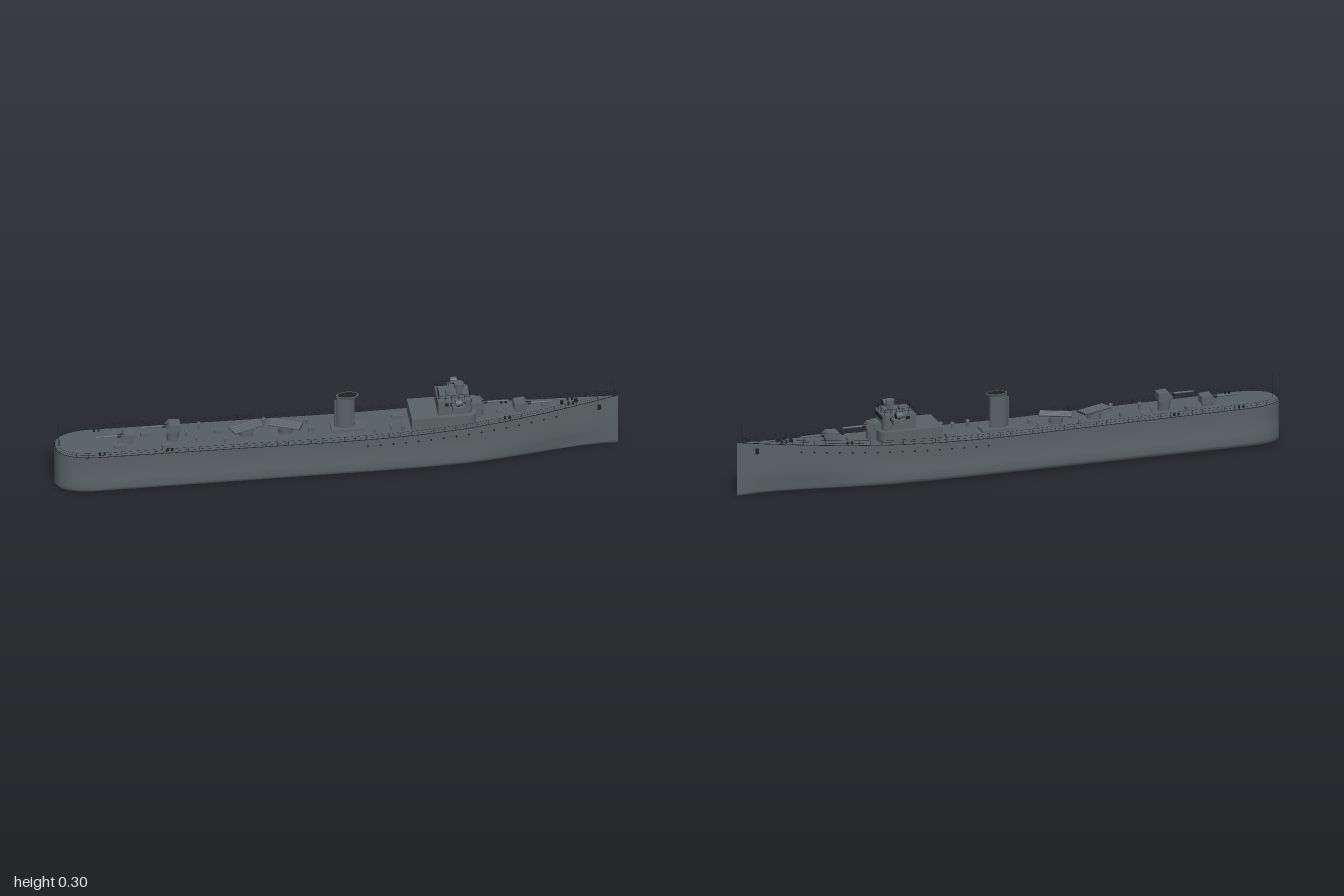
import * as THREE from 'three';

const mat = (name, color) => Object.assign(new THREE.MeshStandardMaterial({ color }), { name });

// Linear interpolation through [x, value] pairs
function lerpTable(table, x) {
  for (let i = 1; i < table.length; i++) {
    const [x0, v0] = table[i - 1], [x1, v1] = table[i];
    if (x <= x1) return v0 + (v1 - v0) * Math.max(0, (x - x0) / (x1 - x0));
  }
  return table[table.length - 1][1];
}
const deckY = x => {
  const bow = Math.max(0, x), stern = Math.max(0, -x);
  return 0.145 + 0.008 * stern + 0.053 * Math.pow(bow, 1.9);
};
const beamTable = [[0.15, 0.097], [0.3, 0.095], [0.45, 0.087], [0.6, 0.07], [0.7, 0.055], [0.8, 0.038], [0.9, 0.02], [1, 0.0005]];
const beam = x => x < -0.85
  ? 0.097 * Math.pow(Math.max(0, 1 - Math.pow((-0.85 - x) / 0.15, 2.4)), 1 / 2.4)
  : lerpTable(beamTable, x);

export function createModel() {
  const grey = mat('warship grey', 0x596265);
  const deckGrey = mat('deck grey', 0x565f62);
  const dark = mat('dark fittings', 0x1d2122);
  const model = new THREE.Group();
  model.name = 'destroyer';

  function add(parent, name, geo, material, x = 0, y = 0, z = 0) {
    const m = new THREE.Mesh(geo, material);
    m.name = name;
    m.position.set(x, y, z);
    parent.add(m);
    return m;
  }
  const box = (p, n, w, h, d, x, y, z, m = grey) => add(p, n, new THREE.BoxGeometry(w, h, d), m, x, y, z);
  const cyl = (p, n, r, h, x, y, z, m = grey, r2 = r, seg = 16) =>
    add(p, n, new THREE.CylinderGeometry(r2, r, h, seg), m, x, y, z);
  function strip(rows, flip) {
    const n = rows[0].length, idx = [];
    for (let i = 0; i + 1 < rows.length; i++) for (let j = 0; j + 1 < n; j++) {
      const a = i * n + j, b = a + n, c = a + 1, d = b + 1;
      idx.push(...(flip ? [a, b, c, b, d, c] : [a, c, b, b, c, d]));
    }
    const g = new THREE.BufferGeometry();
    g.setAttribute('position', new THREE.Float32BufferAttribute(rows.flat(2), 3));
    g.setIndex(idx);
    g.computeVertexNormals();
    return g;
  }

  // Hull stations: dense around the rounded stern
  const stations = [];
  for (let i = 0; i <= 14; i++) stations.push(-0.85 - 0.15 * Math.cos((i / 14) * Math.PI / 2));
  for (let i = 1; i <= 40; i++) stations.push(-0.85 + 1.85 * i / 40);
  const section = x => {
    const w = beam(x), top = deckY(x);
    const fine = 1 - 0.3 * THREE.MathUtils.smoothstep(x, 0.45, 0.95);
    const half = [[0.97, top], [0.965, 0.11], [0.97, 0.075], [1.01 * (1 + fine) / 2, 0.055], [1.01 * fine, 0.025],
      [0.98 * fine, 0.014], [0.9 * fine, 0.009], [0.5 * fine, 0.004]];
    const side = half.map(([f, y]) => [x, y, f * w]);
    return [...side, [x, 0, 0], ...side.map(([a, b, c]) => [a, b, -c]).reverse()];
  };
  add(model, 'hull', strip(stations.map(section), false), grey);
  add(model, 'deck', strip(stations.map(x => [[x, deckY(x), beam(x) * 0.97], [x, deckY(x), -beam(x) * 0.97]]), true), deckGrey);

  // Railings, deck edge, portholes, bollards and anchors on both sides
  for (const s of [1, -1]) {
    const line = h => new THREE.CatmullRomCurve3(stations.map(x =>
      new THREE.Vector3(x * 0.998, deckY(x) + h, s * beam(x) * 0.96)));
    add(model, 'deckEdge', new THREE.TubeGeometry(line(0), 140, 0.0015, 4), dark);
    for (const h of [0.009, 0.018])
      add(model, 'railing', new THREE.TubeGeometry(line(h), 140, 0.0004, 3), dark);
    for (let i = 0; i < 50; i++) {
      const x = -0.97 + i * 0.0395;
      box(model, 'railPost', 0.001, 0.018, 0.001, x, deckY(x) + 0.009, s * beam(x) * 0.96, dark);
    }
    for (let i = 0; i < 16; i++) {
      const x = 0.1 + i * 0.045;
      const p = cyl(model, 'porthole', 0.0035, 0.003, x, deckY(x) - 0.026, s * beam(x) * 0.966, dark, 0.0035, 10);
      p.rotation.x = Math.PI / 2;
    }
    for (const x of [-0.84, -0.6, 0.6, 0.83]) for (const dx of [-0.008, 0.008])
      cyl(model, 'bollard', 0.004, 0.01, x + dx, deckY(x) + 0.005, s * (beam(x) - 0.018), dark, 0.004, 8);
    box(model, 'anchor', 0.012, 0.02, 0.006, 0.93, 0.163, s * 0.0145, dark);
  }

  // Gun mounts with sloped shields
  function gun(name, x, y, dir, base) {
    const g = new THREE.Group();
    g.name = name;
    const sh = new THREE.Shape([[-0.026, 0], [0.022, 0], [0.026, 0.012], [0.012, 0.029], [-0.026, 0.026]]
      .map(p => new THREE.Vector2(...p)));
    add(g, 'shield', new THREE.ExtrudeGeometry(sh, { depth: 0.046, bevelEnabled: false }), grey, 0, 0, -0.023);
    cyl(g, 'barrel', 0.0042, 0.09, 0.065, 0.016, 0, grey, 0.003, 10).rotation.z = -Math.PI / 2;
    cyl(g, 'mantlet', 0.007, 0.02, 0.026, 0.016, 0, dark, 0.005, 10).rotation.z = -Math.PI / 2;
    cyl(g, 'pedestal', 0.022, base, 0, -base / 2, 0);
    g.position.set(x, y, 0);
    if (dir < 0) g.rotation.y = Math.PI;
    model.add(g);
  }
  gun('foreGun', 0.655, 0.176, 1, 0.014);
  gun('upperForeGun', 0.5, 0.193, 1, 0.04);
  gun('upperAftGun', -0.58, 0.189, -1, 0.045);
  gun('aftGun', -0.74, 0.161, -1, 0.015);

  // Deckhouse with rounded plan corners
  function house(name, x0, x1, hw, y0, h, r) {
    const s = new THREE.Shape();
    s.moveTo(x0, -hw);
    s.lineTo(x1 - r, -hw);
    s.quadraticCurveTo(x1, -hw, x1, -hw + r);
    s.lineTo(x1, hw - r);
    s.quadraticCurveTo(x1, hw, x1 - r, hw);
    s.lineTo(x0, hw);
    s.closePath();
    const m = add(model, name, new THREE.ExtrudeGeometry(s, { depth: h, bevelEnabled: false, curveSegments: 8 }), grey, 0, y0, 0);
    m.rotation.x = -Math.PI / 2;
  }
  house('deckhouse', 0.26, 0.49, 0.07, 0.14, 0.06, 0.03);
  house('bridge', 0.355, 0.475, 0.053, 0.2, 0.055, 0.02);
  house('bridgeStep', 0.46, 0.5, 0.028, 0.195, 0.028, 0.012);
  for (let i = -3; i <= 3; i++)
    box(model, 'bridgeWindow', 0.003, 0.012, 0.009, 0.475, 0.242, i * 0.0105, dark);
  for (const s of [1, -1]) {
    for (let i = 0; i < 4; i++)
      box(model, 'sideWindow', 0.013, 0.011, 0.003, 0.385 + i * 0.02, 0.242, s * 0.053, dark);
    // Bridge wing and searchlight
    box(model, 'bridgeWing', 0.045, 0.017, 0.034, 0.425, 0.238, s * 0.069);
    cyl(model, 'lampStand', 0.004, 0.012, 0.425, 0.25, s * 0.075, dark, 0.004, 8);
    cyl(model, 'searchlight', 0.012, 0.022, 0.425, 0.261, s * 0.075, grey).rotation.z = Math.PI / 2;
    cyl(model, 'searchlightLens', 0.0105, 0.002, 0.437, 0.261, s * 0.075, dark).rotation.z = Math.PI / 2;
    // Bridge top rail
    for (const y of [0.266, 0.276]) box(model, 'bridgeRail', 0.11, 0.001, 0.001, 0.415, y, s * 0.047, dark);
    for (let i = 0; i < 6; i++) box(model, 'bridgeRailPost', 0.001, 0.022, 0.001, 0.36 + i * 0.022, 0.266, s * 0.047, dark);
  }
  for (const x of [0.36, 0.47]) {
    for (const y of [0.266, 0.276]) box(model, 'bridgeCrossRail', 0.001, 0.001, 0.094, x, y, 0, dark);
    for (let i = -3; i <= 3; i++) box(model, 'bridgeRailPost', 0.001, 0.022, 0.001, x, 0.266, i * 0.0155, dark);
  }
  cyl(model, 'directorBase', 0.011, 0.025, 0.435, 0.266, 0);
  cyl(model, 'director', 0.017, 0.02, 0.435, 0.287, 0);
  box(model, 'rangefinder', 0.012, 0.01, 0.044, 0.435, 0.281, 0);
  box(model, 'binnacle', 0.015, 0.015, 0.02, 0.395, 0.262, 0);

  // Funnel with a lipped cap
  const funnel = cyl(model, 'funnel', 0.033, 0.13, 0.033, 0.207, 0, grey, 0.032, 28);
  funnel.scale.z = 0.55;
  const cap = cyl(model, 'funnelCap', 0.034, 0.009, 0.04, 0.274, 0, grey, 0.04, 28);
  cap.scale.z = 0.55;
  const mouth = cyl(model, 'funnelMouth', 0.034, 0.002, 0.04, 0.2785, 0, dark, 0.034, 28);
  mouth.scale.z = 0.5;
  cyl(model, 'steamPipe', 0.004, 0.12, -0.003, 0.2, 0, grey, 0.004, 8);

  // Torpedo tube mounts
  for (const [x, a] of [[-0.32, 0.4], [-0.18, -0.4]]) {
    const t = new THREE.Group();
    t.name = 'torpedoMount';
    cyl(t, 'turntable', 0.026, 0.02, 0, 0.01, 0);
    box(t, 'cradle', 0.05, 0.006, 0.044, 0, 0.022, 0);
    for (let i = -1.5; i <= 1.5; i++) {
      cyl(t, 'torpedoTube', 0.0052, 0.115, 0, 0.03, i * 0.012, grey, 0.0052, 10).rotation.z = Math.PI / 2;
      cyl(t, 'tubeMouth', 0.004, 0.001, 0.058, 0.03, i * 0.012, dark, 0.004, 10).rotation.z = Math.PI / 2;
    }
    t.position.set(x, deckY(x), 0);
    t.rotation.y = a;
    model.add(t);
  }

  // Deck fittings: lockers, ventilators, stern racks
  for (const [x, z, w, h, d] of [[-0.77, 0.04, 0.045, 0.014, 0.02], [-0.67, -0.03, 0.04, 0.012, 0.018],
    [-0.61, 0.055, 0.03, 0.012, 0.016], [-0.42, -0.02, 0.02, 0.012, 0.014], [-0.09, 0.01, 0.018, 0.016, 0.012],
    [0.04, 0, 0.12, 0.008, 0.06], [0.22, -0.035, 0.04, 0.012, 0.022], [0.58, 0, 0.025, 0.008, 0.02], [0.74, 0, 0.02, 0.008, 0.018]])
    box(model, 'deckLocker', w, h, d, x, deckY(x) + h / 2, z);
  for (const [x, z] of [[-0.5, 0.03], [-0.48, -0.055], [-0.4, 0.05], [-0.25, -0.055], [-0.1, -0.04], [0.13, 0.05], [0.19, 0.04], [0.23, 0.05], [-0.53, -0.01]]) {
    cyl(model, 'ventilator', 0.005, 0.022, x, deckY(x) + 0.011, z, grey, 0.005, 10);
    cyl(model, 'ventilatorCap', 0.008, 0.005, x, deckY(x) + 0.023, z, grey, 0.006, 10);
  }
  for (const x of [0.8, 0.85]) cyl(model, 'capstan', 0.007, 0.01, x, deckY(x) + 0.005, 0, dark, 0.006, 12);

  // Flagstaffs at stern and bow
  cyl(model, 'sternStaff', 0.0013, 0.09, -0.983, 0.198, 0, dark, 0.001, 6);
  cyl(model, 'bowStaff', 0.0013, 0.07, 0.982, 0.231, 0, dark, 0.001, 6);
  return model;
}
